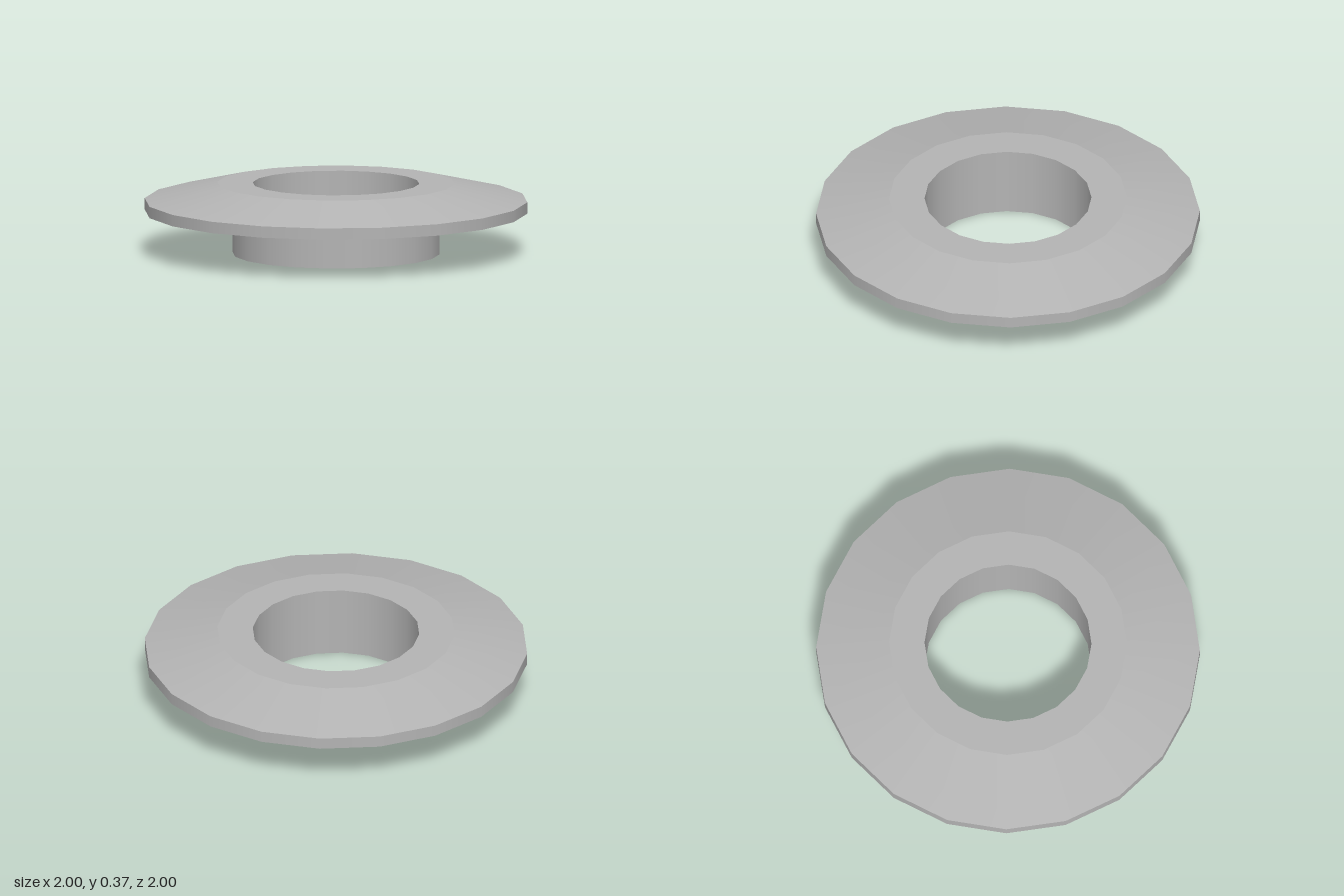
import * as THREE from 'three';
import { mergeGeometries } from 'three/addons/utils/BufferGeometryUtils.js';

const SIDES = 20;

// Lathe each profile segment on its own: smooth around, sharp at the rings.
function turned(name, profile, material) {
  const bands = [];
  for (let i = 0; i < profile.length - 1; i++) {
    const ends = [profile[i], profile[i + 1]].map(([r, y]) => new THREE.Vector2(r, y));
    bands.push(new THREE.LatheGeometry(ends, SIDES));
  }
  const mesh = new THREE.Mesh(mergeGeometries(bands), material);
  mesh.name = name;
  return mesh;
}

export function createModel() {
  const group = new THREE.Group();
  group.name = 'flangedBushing';
  const metal = new THREE.MeshStandardMaterial({ color: 0xb4b4b4 });
  metal.name = 'grey metal';

  const bore = 0.435, collar = 0.54, bottom = 0.22, top = 0.37;

  // Collar: bore wall, bottom ring and outer wall
  group.add(turned('collar', [[bore, bottom], [bore, 0], [collar, 0], [collar, bottom]], metal));

  // Flange: underside, rim, sloped top, flat top ring and upper bore wall
  group.add(turned('flange', [
    [collar, bottom], [1, bottom], [1, 0.28], [0.62, top], [bore, top], [bore, bottom],
  ], metal));

  return group;
}
